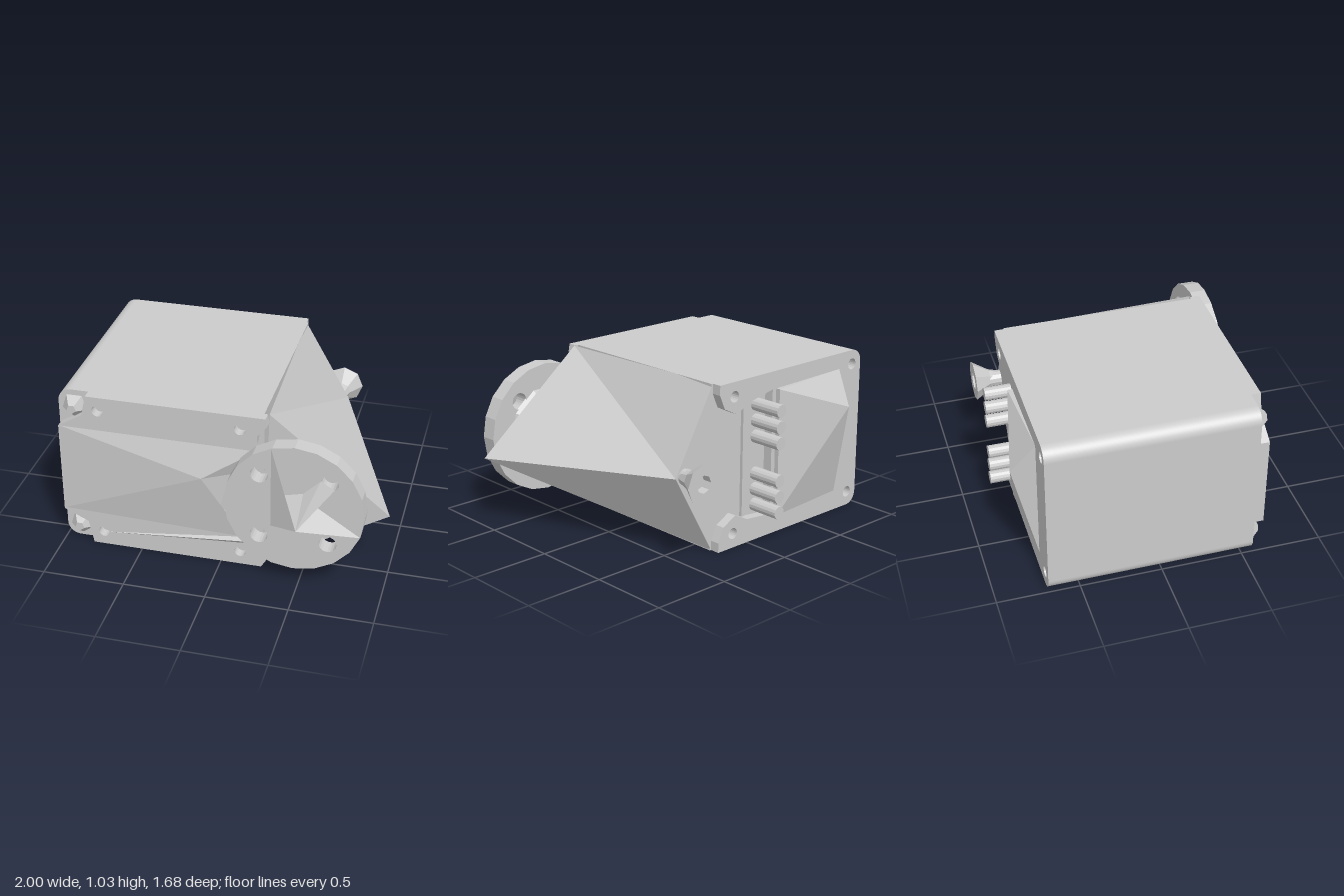
import * as THREE from 'three';

const material = new THREE.MeshStandardMaterial({ color: 0xcccccc, flatShading: true, side: THREE.DoubleSide });

function add(parent, name, geometry, x = 0, y = 0, z = 0) {
  const mesh = new THREE.Mesh(geometry, material);
  mesh.name = name;
  mesh.position.set(x, y, z);
  parent.add(mesh);
  return mesh;
}

// Solid from corner points and triangles
function facets(points, faces) {
  const geometry = new THREE.BufferGeometry();
  geometry.setAttribute('position', new THREE.Float32BufferAttribute(faces.flat().flatMap(i => points[i]), 3));
  geometry.computeVertexNormals();
  return geometry;
}

// Faceted bulge: a rim of points joined to one peak
function fan(rim, peak) {
  const n = rim.length;
  return facets([...rim, peak], rim.map((_, i) => [i, (i + 1) % n, n]));
}

// Flat plate with round holes, from z0 to z1
function plate(outline, holes, radius, z0, z1) {
  const shape = outline instanceof THREE.Shape
    ? outline : new THREE.Shape(outline.map(([x, y]) => new THREE.Vector2(x, y)));
  for (const [x, y] of holes) {
    const path = new THREE.Path();
    path.absarc(x, y, radius, 0, Math.PI * 2, true);
    shape.holes.push(path);
  }
  const geometry = new THREE.ExtrudeGeometry(shape, { depth: z1 - z0, bevelEnabled: false, curveSegments: 10 });
  return geometry.translate(0, 0, z0);
}

// Cylinder or cone along z
function rod(rFront, rBack, length, sides, open = false) {
  return new THREE.CylinderGeometry(rFront, rBack, length, sides, 1, open).rotateX(Math.PI / 2);
}

export function createModel() {
  const model = new THREE.Group();
  model.name = 'servoMotor';
  const H = 1.03;

  // Main housing with rounded outer corners
  const r = 0.08;
  const body = new THREE.Shape();
  body.moveTo(0.25, 0);
  body.lineTo(0.25, H);
  body.lineTo(-1 + r, H);
  body.absarc(-1 + r, H - r, r, Math.PI / 2, Math.PI, false);
  body.lineTo(-1, r);
  body.absarc(-1 + r, r, r, Math.PI, Math.PI * 1.5, false);
  add(model, 'housing', plate(body, [], 0, -0.63, 0.57));

  // Tapered nose on the shaft side
  add(model, 'nose', facets(
    [[0.28, H, 0.57], [1, 0.45, 0.57], [0.25, 0, 0.57], [0.24, H, -0.63], [0.53, 0.52, -0.63], [0.24, 0, -0.63]],
    [[0, 1, 4], [0, 4, 3], [1, 2, 5], [1, 5, 4], [0, 2, 1], [3, 4, 5], [0, 3, 5], [0, 5, 2]]));

  // Front cover, cut away at the outer corners and around the horn
  add(model, 'frontCover', plate(
    [[0.25, 0], [0.28, 0.05], [0.25, 0.13], [0.15, 0.2], [-0.02, 0.36], [0.04, 0.63], [0.22, 0.86], [0.22, 0.91],
      [0.28, 0.98], [0.27, H], [-0.81, H], [-0.84, 0.9], [-0.99, 0.81], [-0.99, 0.22], [-0.84, 0.15], [-0.81, 0]],
    [[-0.74, 0.94], [-0.74, 0.09], [0.12, 0.94], [0.12, 0.09]], 0.035, 0.57, 0.63));
  add(model, 'frontBulge', fan(
    [[-0.98, 0.23, 0.63], [0.15, 0.2, 0.63], [-0.01, 0.36, 0.64], [0.06, 0.63, 0.63], [0.22, 0.81, 0.63], [-0.98, 0.81, 0.63]],
    [-0.1, 0.61, 0.69]));
  add(model, 'lowerCoverRib', fan(
    [[-0.72, 0.09, 0.63], [0.2, 0.16, 0.63], [0.14, 0.2, 0.63]], [0.15, 0.18, 0.65]));
  for (const y of [0.1, H - 0.1]) {
    add(model, 'cornerLump', rod(0.03, 0.08, 0.06, 5), -0.9, y, 0.6);
  }

  // Back cover with screw ears and an open connector bay
  const back = new THREE.Shape();
  back.moveTo(0.24, 0);
  [[0.24, 0.06], [0.2, 0.15], [0.1, 0.2], [0.0, 0.15], [-0.2, 0.13], [-0.2, 0.92], [0.0, 0.88],
    [0.1, 0.83], [0.2, 0.88], [0.24, 0.97], [0.24, H], [-1 + r, H]].forEach(([x, y]) => back.lineTo(x, y));
  back.absarc(-1 + r, H - r, r, Math.PI / 2, Math.PI, false);
  back.lineTo(-1, r);
  back.absarc(-1 + r, r, r, Math.PI, Math.PI * 1.5, false);
  add(model, 'backCover', plate(back, [[-0.92, 0.94], [-0.92, 0.09], [0.12, 0.94], [0.12, 0.09]], 0.035, -0.69, -0.63));
  add(model, 'backBulge', fan(
    [[-0.8, 0.93, -0.69], [-0.23, 0.92, -0.72], [-0.23, 0.12, -0.72], [-0.79, 0.13, -0.69]],
    [-0.74, 0.73, -0.83]));
  add(model, 'bulgeEdge', facets(
    [[-0.23, 0.92, -0.72], [-0.23, 0.12, -0.72], [-0.23, 0.12, -0.63], [-0.23, 0.92, -0.63], [-0.8, 0.93, -0.69], [-0.79, 0.13, -0.69]],
    [[0, 3, 2], [0, 2, 1], [0, 4, 3], [1, 2, 5]]));
  add(model, 'bayWall', new THREE.BoxGeometry(0.03, 0.72, 0.03), -0.01, 0.515, -0.635);

  // Two rows of three connector pins
  for (const start of [0.2, 0.635]) {
    for (let i = 0; i < 3; i++) {
      add(model, 'connectorPin', rod(0.04, 0.04, 0.21, 14), -0.12, start + i * 0.1, -0.735);
    }
  }

  // Rear idler: short shaft flaring to an octagonal rim with a bore
  add(model, 'idlerShaft', rod(0.05, 0.05, 0.12, 12), 0.46, 0.52, -0.68);
  const flare = [[0.055, -0.73], [0.055, -0.8], [0.125, -0.8], [0.06, -0.7], [0.04, -0.63]]
    .map(([x, y]) => new THREE.Vector2(x, y));
  add(model, 'idlerFlare', new THREE.LatheGeometry(flare, 8).rotateX(Math.PI / 2), 0.47, 0.52, 0);

  // Output horn: drilled disc on a low hub
  add(model, 'hornHub', rod(0.28, 0.17, 0.08, 9), 0.465, 0.52, 0.605);
  const disc = new THREE.Shape();
  disc.absarc(0.465, 0.52, 0.415, 0, Math.PI * 2, false);
  const holes = [];
  for (const x of [0.26, 0.67]) for (const y of [0.312, 0.728]) holes.push([x, y]);
  const horn = plate(disc, holes, 0.053, 0.64, 0.74);
  add(model, 'hornDisc', horn);
  // Faceted centre of the horn
  add(model, 'hornCentre', fan(
    [[0.33, 0.39, 0.742], [0.86, 0.39, 0.742], [0.6, 0.56, 0.742], [0.7, 0.69, 0.742], [0.62, 0.74, 0.742],
      [0.52, 0.64, 0.742], [0.4, 0.61, 0.742], [0.33, 0.91, 0.742]],
    [0.5, 0.44, 0.84]));

  return model;
}
